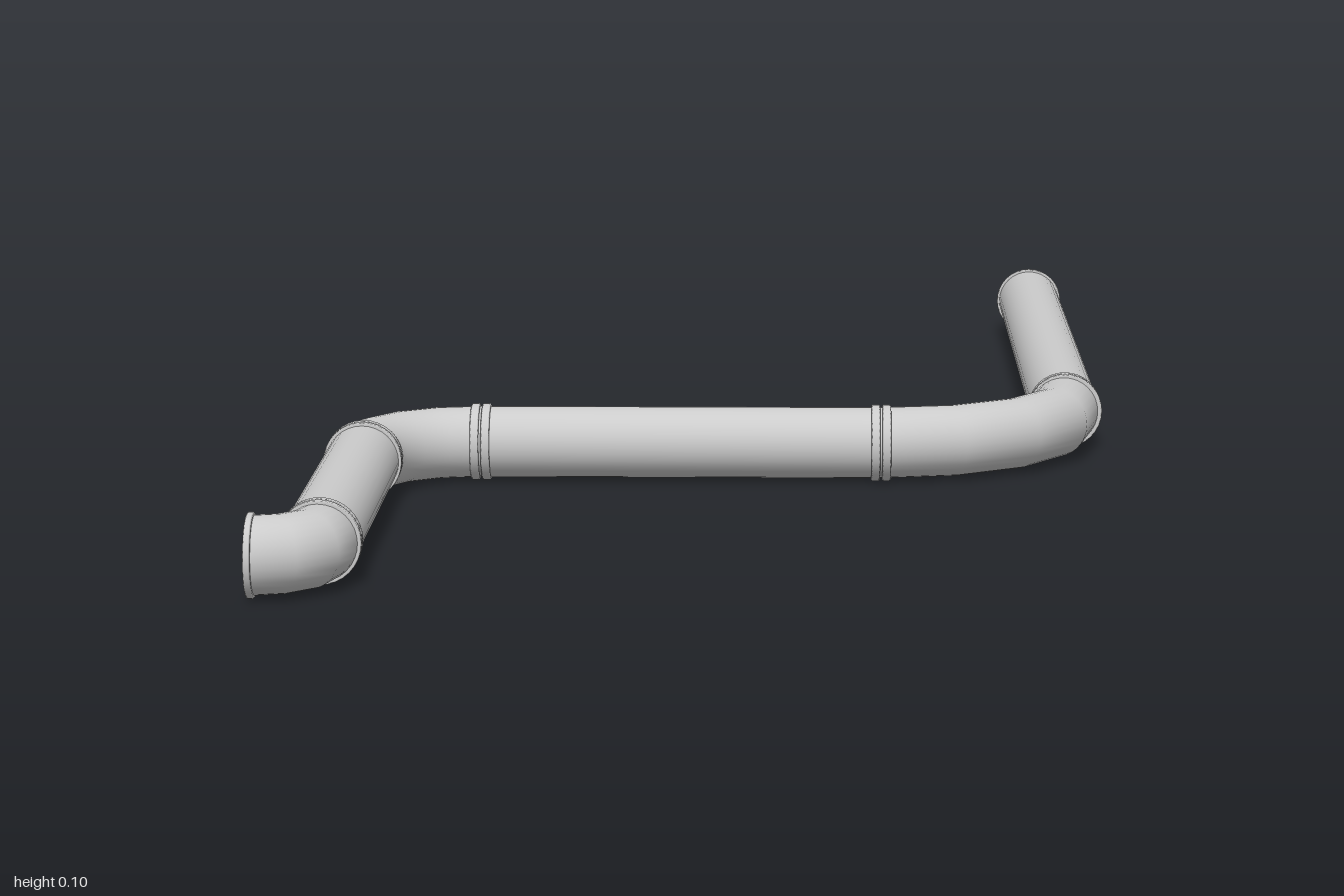
import * as THREE from 'three';

const R = 0.0445, FLANGE = 0.048, SIDES = 32;
const material = new THREE.MeshStandardMaterial({ color: 0xcccccc });

// Circular arc in the horizontal plane; angle runs from +x towards +z
class FlatArc extends THREE.Curve {
  constructor(cx, cz, r, a0, a1) {
    super();
    Object.assign(this, { cx, cz, r, a0, a1 });
  }
  getPoint(t, target = new THREE.Vector3()) {
    const a = this.a0 + (this.a1 - this.a0) * t;
    return target.set(this.cx + this.r * Math.cos(a), 0, this.cz + this.r * Math.sin(a));
  }
}

export function createModel() {
  const group = new THREE.Group();
  group.position.y = FLANGE;
  const root = new THREE.Group();
  root.add(group);

  const add = (name, geometry, x = 0, z = 0) => {
    const mesh = new THREE.Mesh(geometry, material);
    mesh.name = name;
    mesh.position.set(x, 0, z);
    group.add(mesh);
  };
  // Lay a geometry built along y onto the x or z axis
  const lay = (geometry, axis) =>
    axis === 'x' ? geometry.rotateZ(Math.PI / 2) : geometry.rotateX(Math.PI / 2);

  const pipe = (name, axis, from, to, across) => {
    const g = lay(new THREE.CylinderGeometry(R, R, to - from, SIDES), axis);
    const mid = (from + to) / 2;
    axis === 'x' ? add(name, g, mid, across) : add(name, g, across, mid);
  };
  const elbow = (name, segments, ...arc) =>
    add(name, new THREE.TubeGeometry(new FlatArc(...arc), segments, R, SIDES));

  // One flange disc with slightly chamfered rims
  const flange = (name, axis, x, z, width = 0.011) => {
    const h = width / 2, c = 0.0015;
    const rows = [[0, -h], [FLANGE - c, -h], [FLANGE, -h + c], [FLANGE, h - c], [FLANGE - c, h], [0, h]];
    const g = new THREE.LatheGeometry(rows.map(p => new THREE.Vector2(...p)), SIDES);
    add(name, lay(g, axis), x, z);
  };
  // Two flange discs meeting at a narrow groove
  const joint = (name, axis, x, z) => {
    for (const s of [-0.0068, 0.0068])
      flange(name, axis, axis === 'x' ? x + s : x, axis === 'z' ? z + s : z);
  };

  // Straight runs
  pipe('backPipe', 'z', -0.995, -0.011, 0.452);
  pipe('middlePipe', 'x', -0.294, 0.205, 0.236);
  pipe('frontPipe', 'z', 0.371, 0.8815, -0.429);

  // Bends
  const q = Math.PI / 2;
  elbow('wideElbow', 4, 0.205, -0.011, 0.247, 0, q);
  elbow('smallElbow', 4, -0.294, 0.371, 0.135, -q, -2 * q);
  elbow('endElbow', 3, -0.4995, 0.8815, 0.0705, 0, q);

  // Flanged joints between the pieces
  joint('backJoint', 'z', 0.452, -0.012);
  joint('rightJoint', 'x', 0.208, 0.236);
  joint('leftJoint', 'x', -0.293, 0.236);
  joint('frontJoint', 'z', -0.429, 0.369);
  joint('endJoint', 'z', -0.429, 0.872);

  // Closed end flanges
  flange('backEndFlange', 'z', 0.452, -0.996, 0.008);
  flange('frontEndFlange', 'x', -0.496, 0.952, 0.008);

  return root;
}
